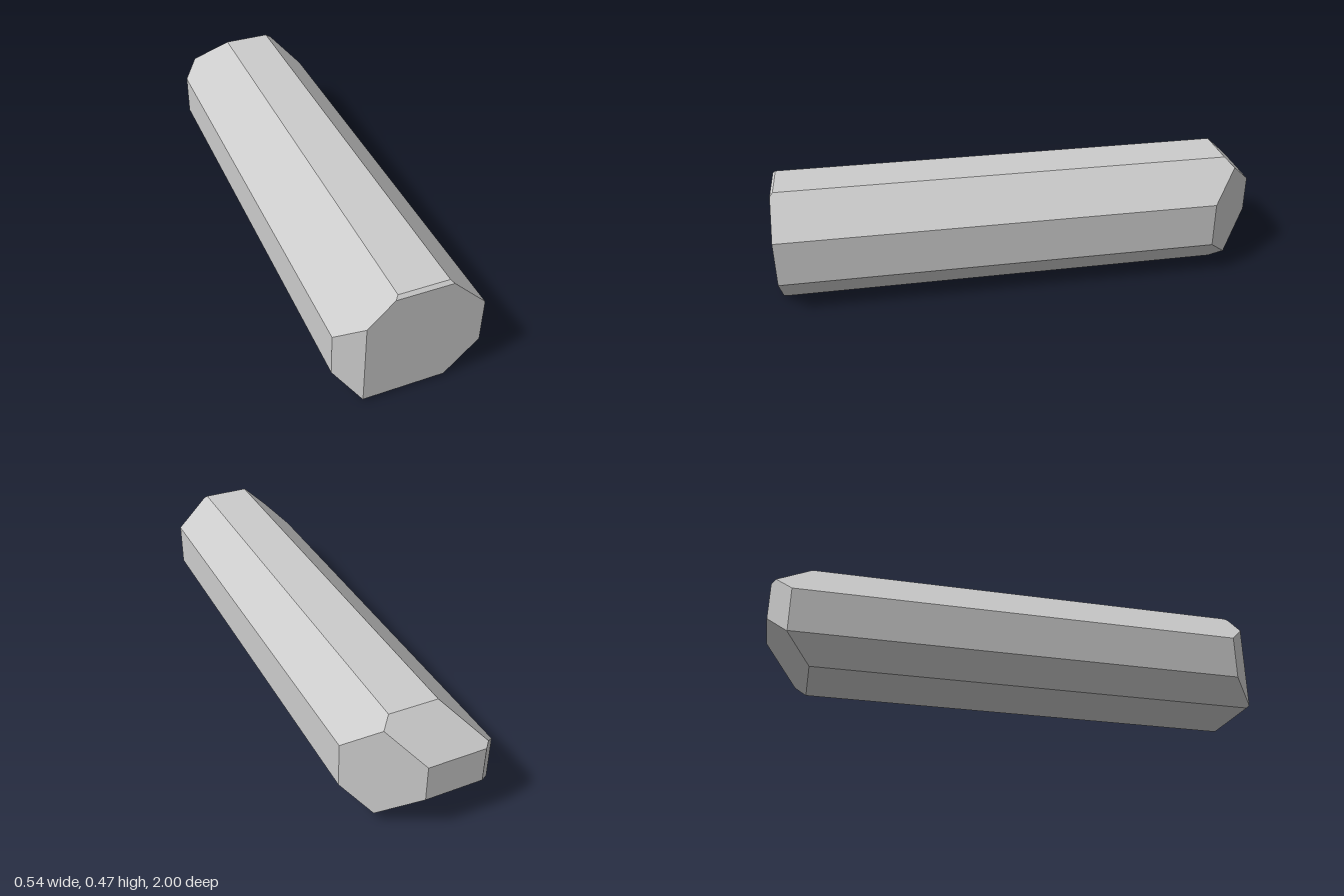
import * as THREE from 'three';
import { ConvexGeometry } from 'three/addons/geometries/ConvexGeometry.js';

// Each cut keeps the points where nx*x + ny*y + nz*z <= d
const cuts = [
  // flat sides and ends
  [1, 0, 0, 0.27], [-1, 0, 0, 0.27],
  [0, 1, 0, 0.474], [0, -1, 0, 0],
  [0, 0, 1, 1], [0, 0, -1, 1],
  // long bevels along the bar
  [1, 1, 0, 0.598], [1, -1, 0, 0.128],
  [-1, 1, 0, 0.545], [-1, -1, 0, 0.175],
  // front end bevels: top, bottom, right
  [0, 1, 1, 1.462], [0, -1, 1, 0.99], [-1, 0, 1, 1.183],
  // back end bevels: top, bottom, left, right
  [0, 1, -1, 1.324], [0, -1, -1, 0.825],
  [1, 0, -1, 1.045], [-1, 0, -1, 1.188],
].map(([x, y, z, d]) => ({ n: new THREE.Vector3(x, y, z), d }));

// Corner where three cuts meet, or null if they do not meet in one point
function meet(a, b, c) {
  const bc = new THREE.Vector3().crossVectors(b.n, c.n);
  const det = a.n.dot(bc);
  if (Math.abs(det) < 1e-6) return null;
  const ca = new THREE.Vector3().crossVectors(c.n, a.n);
  const ab = new THREE.Vector3().crossVectors(a.n, b.n);
  return bc.multiplyScalar(a.d).addScaledVector(ca, b.d).addScaledVector(ab, c.d).divideScalar(det);
}

// Corners of the solid left over after all cuts
function solidCorners(planes) {
  const corners = [];
  for (let i = 0; i < planes.length; i++)
    for (let j = i + 1; j < planes.length; j++)
      for (let k = j + 1; k < planes.length; k++) {
        const p = meet(planes[i], planes[j], planes[k]);
        if (!p || planes.some((c) => c.n.dot(p) > c.d + 1e-6)) continue;
        if (!corners.some((q) => q.distanceTo(p) < 1e-4)) corners.push(p);
      }
  return corners;
}

export function createModel() {
  const group = new THREE.Group();
  group.name = 'bevelledBar';
  const bar = new THREE.Mesh(
    new ConvexGeometry(solidCorners(cuts)),
    new THREE.MeshStandardMaterial({ color: 0xcccccc, flatShading: true })
  );
  bar.name = 'bar';
  group.add(bar);
  return group;
}
